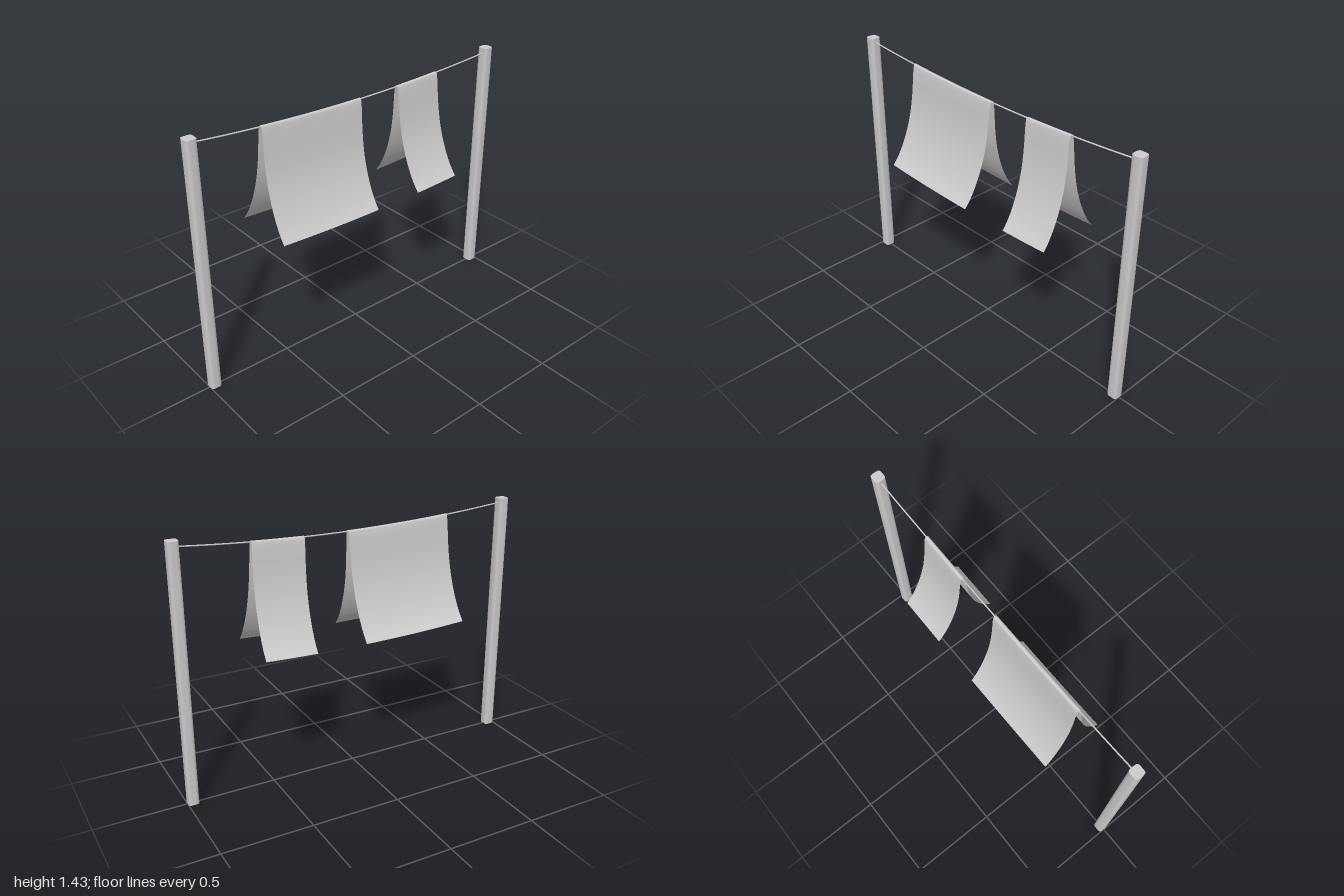
import * as THREE from 'three';
import { mergeGeometries } from 'three/addons/utils/BufferGeometryUtils.js';

const material = new THREE.MeshStandardMaterial({ color: 0xcccccc, side: THREE.DoubleSide });
const POST_HEIGHT = 1.435;

// height of the sagging line at x
const lineY = (x) => 1.361 + 0.049 * (x - 0.03) ** 2;

function addMesh(group, geometry, name) {
  const mesh = new THREE.Mesh(geometry, material);
  mesh.name = name;
  group.add(mesh);
  return mesh;
}

// round post squared off by a superellipse rule, open at the foot
function postGeometry() {
  const side = new THREE.CylinderGeometry(0.03, 0.03, POST_HEIGHT, 24, 1, true);
  side.translate(0, POST_HEIGHT / 2, 0);
  const cap = new THREE.CircleGeometry(0.03, 24);
  cap.rotateX(-Math.PI / 2).translate(0, POST_HEIGHT, 0);
  const geometry = mergeGeometries([side, cap]);
  const p = geometry.attributes.position;
  for (let i = 0; i < p.count; i++) {
    const x = p.getX(i), z = p.getZ(i), r = Math.hypot(x, z);
    if (r < 1e-6) continue;
    const k = 1 / Math.pow(Math.abs(x / r) ** 5 + Math.abs(z / r) ** 5, 0.2);
    p.setX(i, x * k);
    p.setZ(i, z * k);
  }
  geometry.computeVertexNormals();
  return geometry;
}

// half of the hanging section: z away from the line, drop below it
const half = [
  [0.008, -0.003], [0.013, 0.015], [0.019, 0.07], [0.027, 0.16], [0.044, 0.27],
  [0.071, 0.37], [0.105, 0.455], [0.143, 0.525], [0.18, 0.574],
];
const section = new THREE.CatmullRomCurve3([
  ...half.slice().reverse().map(([z, d]) => new THREE.Vector3(0, -d, z)),
  new THREE.Vector3(0, 0.006, 0),
  ...half.map(([z, d]) => new THREE.Vector3(0, -d, -z)),
], false, 'centripetal');

// sheet draped over the line, its hems drifting sideways by "drift"
function clothGeometry(x0, x1, drift) {
  const cols = 16, rows = 72;
  const geometry = new THREE.PlaneGeometry(1, 1, cols, rows);
  const p = geometry.attributes.position;
  const points = section.getPoints(rows);
  for (let i = 0; i < p.count; i++) {
    const c = i % (cols + 1), s = points[rows - Math.floor(i / (cols + 1))];
    const x = x0 + (x1 - x0) * c / cols;
    const drop = Math.max(0, -s.y / 0.574);
    p.setXYZ(i, x + drift * drop, lineY(x) + s.y, s.z);
  }
  // rows run from the back hem to the front hem so the outside faces out
  geometry.computeVertexNormals();
  return geometry;
}

export function createModel() {
  const model = new THREE.Group();
  model.name = 'clothesline';

  // posts
  const post = postGeometry();
  for (const [side, name] of [[1, 'leftPost'], [-1, 'rightPost']]) {
    addMesh(model, post, name).position.x = side * 0.97;
  }

  // line
  const linePoints = [];
  for (let i = 0; i <= 12; i++) {
    const x = -0.97 + 1.94 * i / 12;
    linePoints.push(new THREE.Vector3(x, lineY(x), 0));
  }
  addMesh(model, new THREE.TubeGeometry(new THREE.CatmullRomCurve3(linePoints), 32, 0.004, 8), 'line');

  // hanging cloths
  addMesh(model, clothGeometry(-0.588, 0.03, -0.018), 'wideCloth');
  addMesh(model, clothGeometry(0.283, 0.573, 0.017), 'narrowCloth');

  return model;
}
